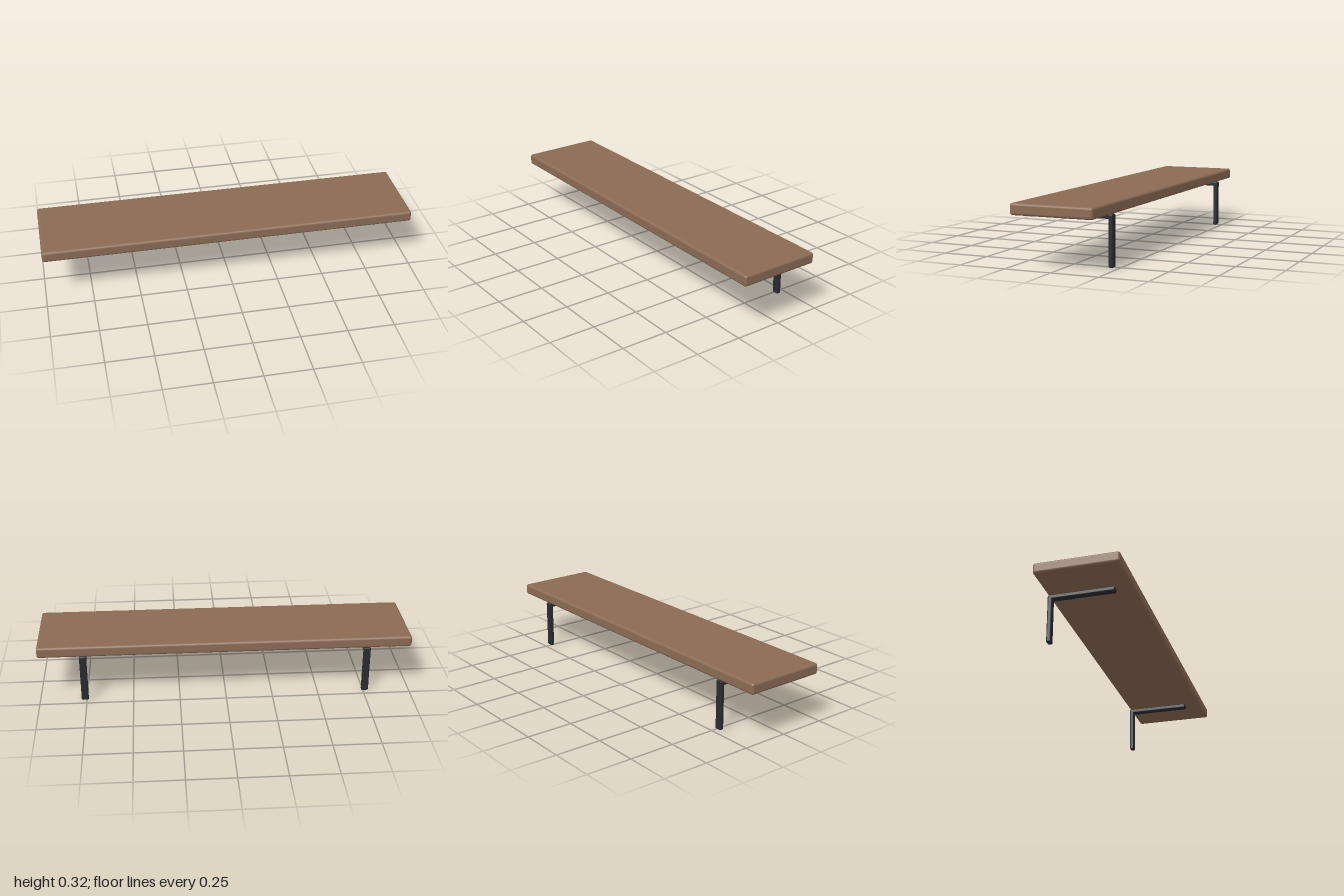
import * as THREE from 'three';
import { RoundedBoxGeometry } from 'three/addons/geometries/RoundedBoxGeometry.js';

const wood = new THREE.MeshStandardMaterial({ color: 0x8b6b54 });
const metal = new THREE.MeshStandardMaterial({ color: 0x2b2a30 });

// Rounded box given by its size and centre
function bar(name, size, centre, radius, material) {
  const mesh = new THREE.Mesh(new RoundedBoxGeometry(...size, 4, radius), material);
  mesh.name = name;
  mesh.position.set(...centre);
  return mesh;
}

export function createModel() {
  const shelf = new THREE.Group();
  shelf.name = 'wallShelf';

  // Wooden board
  shelf.add(bar('board', [2, 0.059, 0.44], [0, 0.2915, 0], 0.013, wood));

  // L-shaped brackets: an upright against the wall and an arm under the board
  for (const side of [-1, 1]) {
    const bracket = new THREE.Group();
    bracket.name = side > 0 ? 'leftBracket' : 'rightBracket';
    bracket.position.x = side * 0.76;
    bracket.add(
      bar('upright', [0.038, 0.262, 0.024], [0, 0.131, -0.208], 0.007, metal),
      bar('arm', [0.038, 0.024, 0.35], [0, 0.25, -0.045], 0.007, metal)
    );
    shelf.add(bracket);
  }
  return shelf;
}
